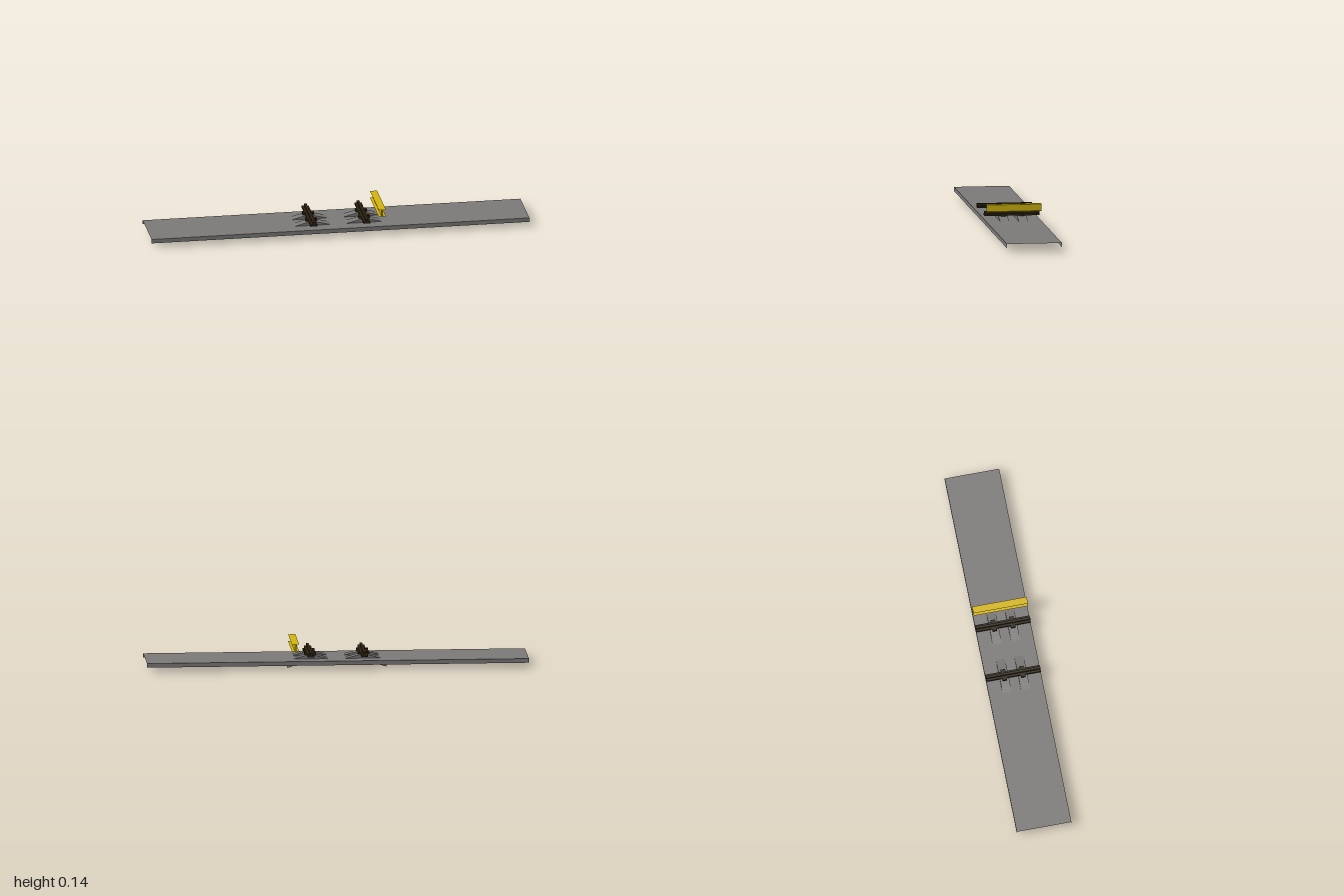
import * as THREE from 'three';

export function createModel() {
  const model = new THREE.Group();
  const material = (name, color, side = THREE.FrontSide) => {
    const m = new THREE.MeshStandardMaterial({ color, side });
    m.name = name;
    return m;
  };
  const steel = material('grey steel', 0x7b7978, THREE.DoubleSide);
  const iron = material('dark iron', 0x2e2412);
  const yellow = material('yellow paint', 0xd2b40e, THREE.DoubleSide);

  const add = (name, geometry, mat, x = 0, y = 0, z = 0, parent = model) => {
    const mesh = new THREE.Mesh(geometry, mat);
    mesh.name = name;
    mesh.position.set(x, y, z);
    parent.add(mesh);
    return mesh;
  };
  const box = (name, w, h, d, mat, x, y, z, parent) =>
    add(name, new THREE.BoxGeometry(w, h, d), mat, x, y, z, parent);
  const sheet = (w, d) => new THREE.PlaneGeometry(w, d).rotateX(-Math.PI / 2);

  // Long open deck: a thin top sheet with a lip down each long edge
  const halfDepth = 0.145;
  add('deckTop', sheet(2, halfDepth * 2), steel, 0, 0.046, 0);
  for (const s of [-1, 1]) {
    const lip = add('deckLip', new THREE.PlaneGeometry(2, 0.022), steel, 0, 0.035, s * halfDepth);
    if (s < 0) lip.rotation.y = Math.PI;
  }

  // Side profile of a runner: rises from each foot to a peak, dips in the middle
  const half = [
    [0.258, 0], [0.267, 0.036], [0.16, 0.065], [0.12, 0.065], [0.03, 0.043],
  ];
  const under = [[0.03, 0.03], [0.12, 0.034], [0.17, 0.028]];
  const mirror = (list) => list.map(([x, y]) => [-x, y]);
  const outline = [
    ...half, ...mirror(half).reverse(),
    ...mirror(under).reverse(), ...under,
  ];
  const profile = new THREE.Shape(outline.map(([x, y]) => new THREE.Vector2(x, y)));
  const width = 0.048;
  const runner = new THREE.ExtrudeGeometry(profile, { depth: width, bevelEnabled: false })
    .translate(0, 0, -width / 2);
  for (const s of [-1, 1]) {
    add('runner', runner, steel, 0, 0, s * 0.049);
    box('lug', 0.03, 0.016, 0.03, steel, -0.065, 0.039, s * 0.049);
  }

  // Two dark cross rails, each seated on a pair of pads
  for (const x of [-0.14, 0.14]) {
    const rail = new THREE.Group();
    rail.name = 'crossRail';
    rail.position.x = x;
    model.add(rail);
    box('railBase', 0.036, 0.011, halfDepth * 2, iron, 0, 0.0715, 0, rail);
    box('railHead', 0.013, 0.012, halfDepth * 2, iron, 0, 0.083, 0, rail);
    for (const s of [-1, 1]) box('railPad', 0.06, 0.013, 0.024, iron, 0, 0.0715, s * 0.049, rail);
  }

  // Yellow I-beam held above the deck
  const beam = new THREE.Group();
  beam.name = 'yellowBeam';
  beam.position.x = 0.222;
  model.add(beam);
  box('beamWeb', 0.008, 0.037, halfDepth * 2, yellow, 0, 0.1185, 0, beam);
  for (const y of [0.1, 0.137]) add('beamFlange', sheet(0.038, halfDepth * 2), yellow, 0, y, 0, beam);

  // Slim dark bar under the deck
  box('underBar', 0.012, 0.01, 0.15, iron, -0.45, 0.04, 0);

  return model;
}
